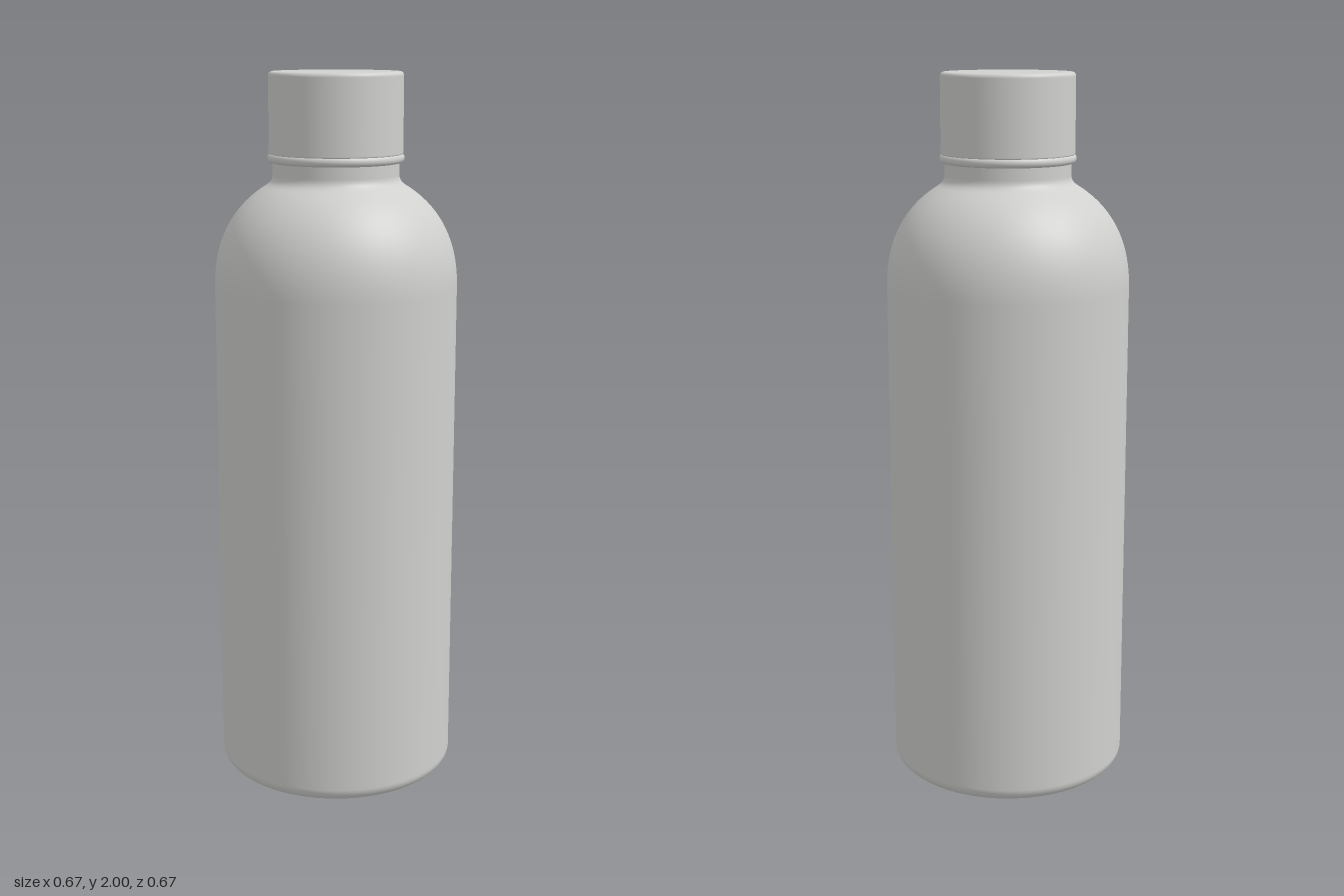
import * as THREE from 'three';

const steel = new THREE.MeshStandardMaterial({ color: 0xd0d0ce });
steel.name = 'lightGrey';

// Surface of revolution from a path; curves are sampled finely for smooth rounding
function turned(name, path, divisions = 12) {
  const mesh = new THREE.Mesh(new THREE.LatheGeometry(path.getPoints(divisions), 96), steel);
  mesh.name = name;
  return mesh;
}

export function createModel() {
  const model = new THREE.Group();
  model.name = 'bottle';

  // Body: flat base, rounded foot, straight wall, domed shoulder, short neck
  const body = new THREE.Path();
  body.moveTo(0, 0);
  body.lineTo(0.29, 0);
  body.lineTo(0.297, 0);
  body.bezierCurveTo(0.319, 0, 0.337, 0.018, 0.337, 0.04);
  body.lineTo(0.337, 0.06);
  body.lineTo(0.337, 1.42);
  body.bezierCurveTo(0.337, 1.56, 0.274, 1.645, 0.195, 1.693);
  body.bezierCurveTo(0.181, 1.702, 0.174, 1.71, 0.174, 1.725);
  body.lineTo(0.174, 1.78);
  model.add(turned('body', body, 20));

  // Bead around the lower rim of the cap
  const bead = new THREE.Path();
  bead.moveTo(0.165, 1.757);
  bead.lineTo(0.176, 1.757);
  bead.bezierCurveTo(0.191, 1.758, 0.191, 1.781, 0.178, 1.782);
  bead.lineTo(0.165, 1.783);
  model.add(turned('capBead', bead));

  // Screw cap with a softly rounded top edge
  const cap = new THREE.Path();
  cap.moveTo(0.165, 1.778);
  cap.lineTo(0.18, 1.779);
  cap.bezierCurveTo(0.182, 1.779, 0.184, 1.781, 0.184, 1.784);
  cap.lineTo(0.184, 1.79);
  cap.lineTo(0.184, 1.988);
  cap.bezierCurveTo(0.184, 1.995, 0.179, 2, 0.172, 2);
  cap.lineTo(0.168, 2);
  cap.lineTo(0, 2);
  model.add(turned('cap', cap));

  return model;
}
